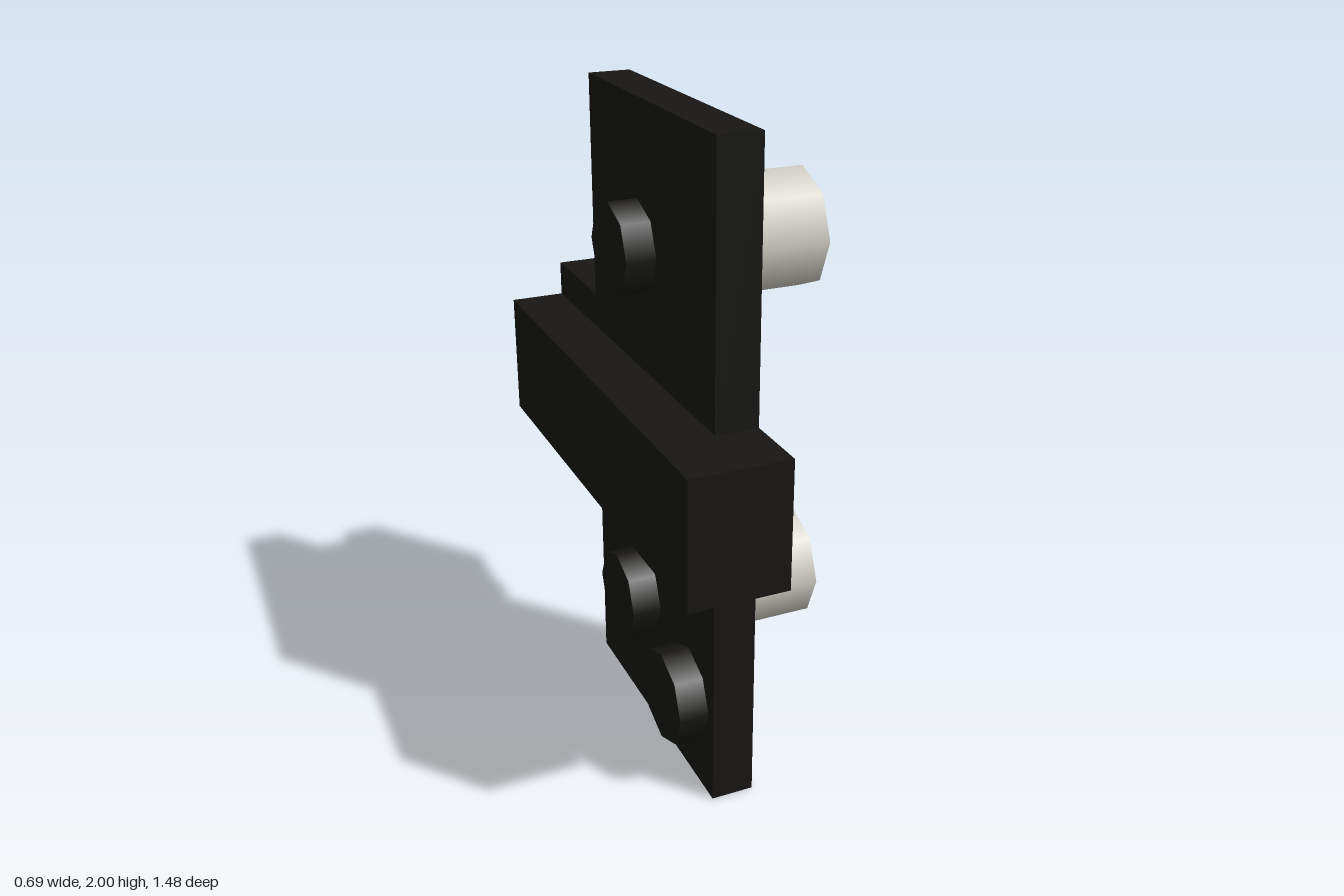
import * as THREE from 'three';

const dark = new THREE.MeshStandardMaterial({ color: 0x171614 });
const light = new THREE.MeshStandardMaterial({ color: 0xcfcdc4 });

// Eight-sided cylinder lying along x, from x0 to x1
function peg(name, x0, x1, y, z, radius, material) {
  const geometry = new THREE.CylinderGeometry(radius, radius, x1 - x0, 8);
  geometry.rotateZ(-Math.PI / 2);
  const mesh = new THREE.Mesh(geometry, material);
  mesh.name = name;
  mesh.position.set((x0 + x1) / 2, y, z);
  return mesh;
}

export function createModel() {
  const model = new THREE.Group();
  model.name = 'wallPlate';

  // Upright plate with a short front tab and a taller rear tab; outline is (z, y)
  const outline = new THREE.Shape([
    [-0.39, 0], [0.53, 0], [0.53, 0.81], [0.74, 0.81], [0.74, 1.2], [0.53, 1.2],
    [0.53, 2], [-0.39, 2], [-0.39, 1.31], [-0.74, 1.31], [-0.74, 0.69], [-0.39, 0.69],
  ].map(([z, y]) => new THREE.Vector2(z, y)));
  const plateGeometry = new THREE.ExtrudeGeometry(outline, { depth: 0.13, bevelEnabled: false });
  plateGeometry.rotateY(-Math.PI / 2);
  const plate = new THREE.Mesh(plateGeometry, dark);
  plate.name = 'plate';
  plate.position.x = -0.05;
  model.add(plate);

  // Horizontal bar across the plate
  const bar = new THREE.Mesh(new THREE.BoxGeometry(0.17, 0.39, 1.48), dark);
  bar.name = 'crossBar';
  bar.position.set(-0.265, 1.005, 0);
  model.add(bar);

  // Light pegs on one side, dark studs behind them on the other
  for (const [level, y] of [['upper', 1.57], ['lower', 0.435]]) {
    model.add(peg(level + 'Peg', -0.05, 0.345, y, -0.01, 0.186, light));
    model.add(peg(level + 'Stud', -0.27, -0.18, y, -0.01, 0.142, dark));
  }
  model.add(peg('frontStud', -0.27, -0.18, 0.28, 0.35, 0.148, dark));

  return model;
}
